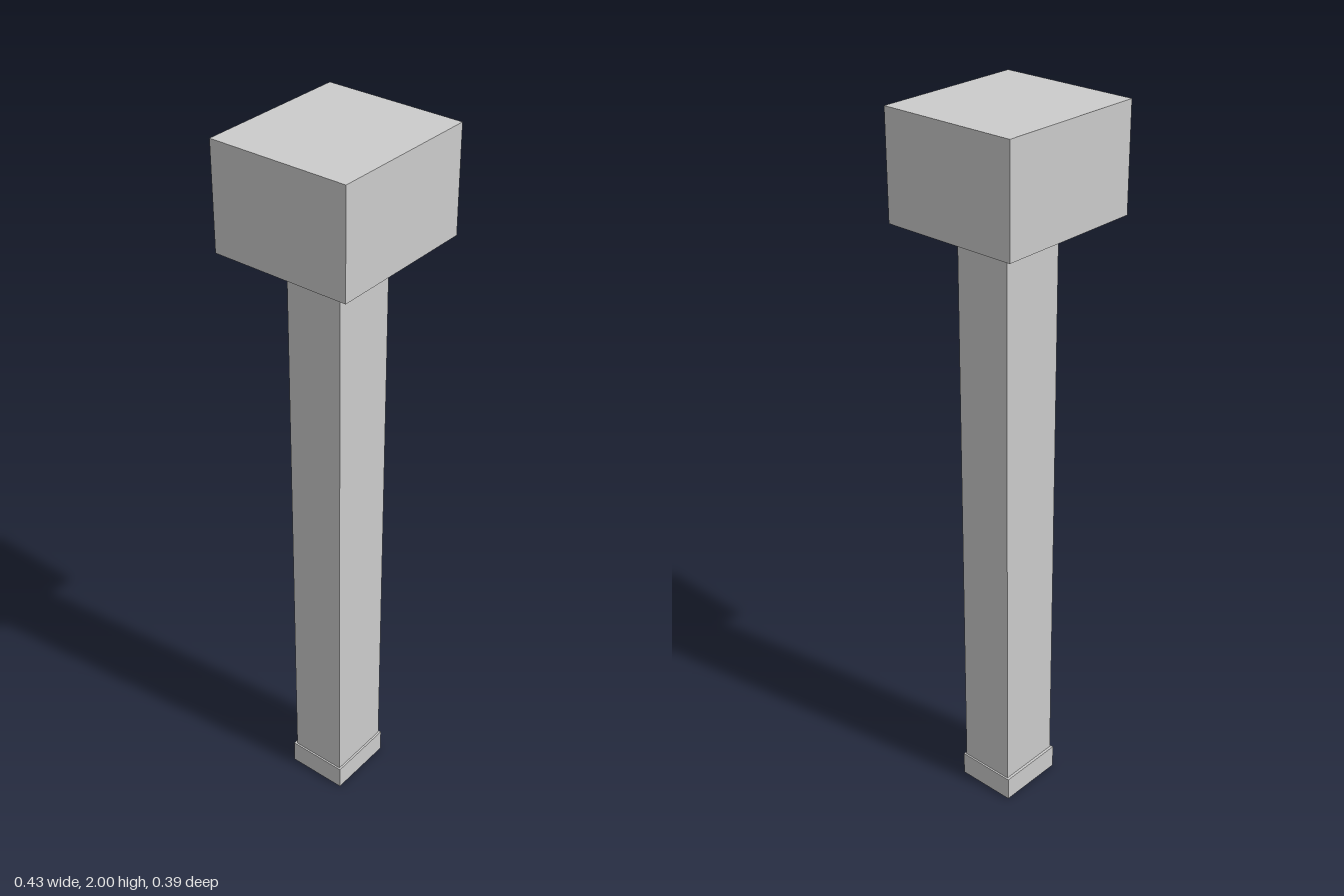
import * as THREE from 'three';

const material = new THREE.MeshStandardMaterial({ color: 0xcccccc, flatShading: true });

// Box given by its bottom and top heights, footprint and centre
function block(name, bottom, top, width, depth, x = 0, z = 0) {
  const mesh = new THREE.Mesh(new THREE.BoxGeometry(width, top - bottom, depth), material);
  mesh.name = name;
  mesh.position.set(x, (bottom + top) / 2, z);
  return mesh;
}

export function createModel() {
  const group = new THREE.Group();
  group.name = 'hammer';
  group.add(
    block('head', 1.715, 2, 0.427, 0.388),
    block('handle', 0.03, 1.73, 0.188, 0.161, -0.002, 0.004),
    block('pommel', 0, 0.07, 0.198, 0.175, -0.002, 0.003), // slightly wider end cap
  );
  return group;
}
